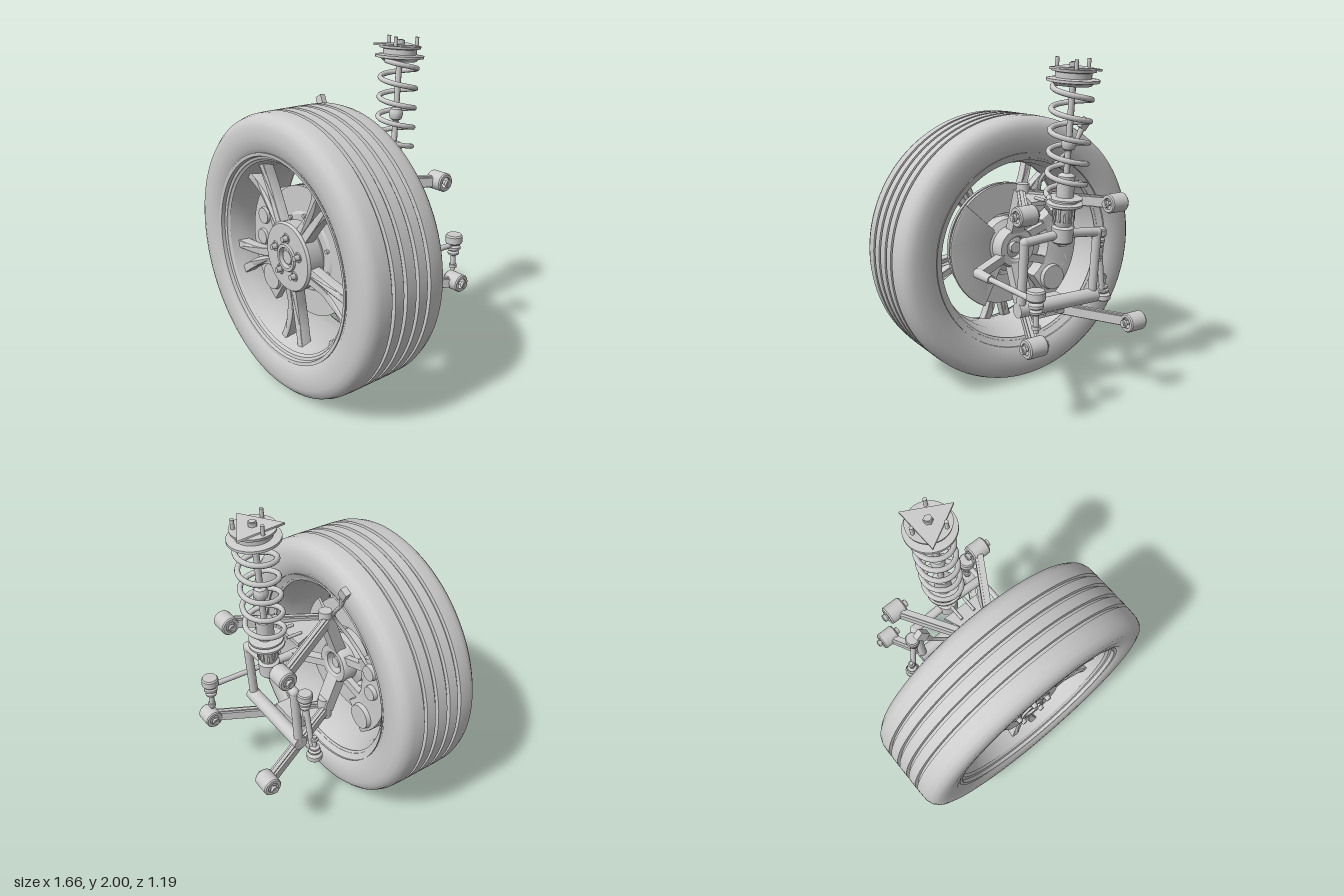
import * as THREE from 'three';
import { toCreasedNormals } from 'three/addons/utils/BufferGeometryUtils.js';

const mat = new THREE.MeshStandardMaterial({ color: 0xcccccc, side: THREE.DoubleSide });
const V = (p) => new THREE.Vector3(...p);
const AXLE = 0.83; // height of the wheel centre

function add(parent, name, geo, pos = [0, 0, 0]) {
  const m = new THREE.Mesh(geo, mat);
  m.name = name;
  m.position.set(...pos);
  parent.add(m);
  return m;
}
// Revolved profile of [radius, height] pairs, about y
const lathe = (pts, seg = 48) =>
  toCreasedNormals(new THREE.LatheGeometry(pts.map((p) => new THREE.Vector2(...p)), seg), 0.5);
// Same, about z
const latheZ = (pts, seg = 48) => lathe(pts, seg).rotateX(Math.PI / 2);
// Round rod between two points
function rod(parent, name, a, b, r1, r2 = r1, seg = 24) {
  const d = V(b).sub(V(a));
  const m = add(parent, name, new THREE.CylinderGeometry(r2, r1, d.length(), seg));
  m.position.copy(V(a).add(V(b)).multiplyScalar(0.5));
  m.quaternion.setFromUnitVectors(new THREE.Vector3(0, 1, 0), d.normalize());
  return m;
}
// Rectangular bar between two points
function bar(parent, name, a, b, w, h) {
  const m = add(parent, name, new THREE.BoxGeometry(w, h, V(a).distanceTo(V(b))));
  m.position.copy(V(a).add(V(b)).multiplyScalar(0.5));
  m.lookAt(V(b));
  return m;
}
const tube = (pts, r, n = 40) => new THREE.TubeGeometry(new THREE.CatmullRomCurve3(pts.map(V)), n, r, 10);
const box = (w, h, d) => new THREE.BoxGeometry(w, h, d);
const group = (parent, name) => { const g = new THREE.Group(); g.name = name; parent.add(g); return g; };

function buildWheel(root) {
  const wheel = group(root, 'wheel');
  wheel.position.y = AXLE;
  // Tyre with four tread grooves
  const tread = [];
  for (const z of [0.195, 0.275, 0.36, 0.44])
    tread.push([0.83, z - 0.011], [0.808, z - 0.009], [0.808, z + 0.009], [0.83, z + 0.011]);
  add(wheel, 'tyre', latheZ([[0.56, 0.1], [0.61, 0.07], [0.64, 0.05], [0.7, 0.042], [0.755, 0.043], [0.79, 0.055],
    [0.815, 0.08], [0.827, 0.115], ...tread, [0.827, 0.52], [0.815, 0.555], [0.79, 0.58], [0.755, 0.592],
    [0.7, 0.593], [0.64, 0.585], [0.61, 0.565], [0.56, 0.53]], 112));
  add(wheel, 'rim', latheZ([[0.61, 0.06], [0.61, 0.08], [0.575, 0.09], [0.56, 0.14], [0.535, 0.2], [0.53, 0.4],
    [0.545, 0.47], [0.565, 0.52], [0.575, 0.545], [0.59, 0.55], [0.595, 0.572], [0.615, 0.575], [0.615, 0.55]], 96));
  // Five forked spokes
  for (let i = 0; i < 5; i++) {
    const fork = group(wheel, 'spokePair');
    fork.rotation.z = (i * 2 * Math.PI) / 5 + Math.PI;
    for (const s of [-1, 1]) {
      const sh = new THREE.Shape();
      sh.moveTo(s * 0.004, 0.17);
      sh.lineTo(s * 0.004, 0.3);
      sh.quadraticCurveTo(s * 0.014, 0.44, s * 0.068, 0.565);
      sh.lineTo(s * 0.108, 0.555);
      sh.quadraticCurveTo(s * 0.052, 0.42, s * 0.046, 0.3);
      sh.lineTo(s * 0.05, 0.17);
      const g = new THREE.ExtrudeGeometry(sh, { depth: 0.05, bevelSize: 0.004, bevelThickness: 0.008, bevelSegments: 2, curveSegments: 10 });
      // Dish the spoke slightly between hub and rim
      const p = g.attributes.position;
      for (let k = 0; k < p.count; k++) p.setZ(k, p.getZ(k) + 0.43 - 0.02 * Math.sin(((p.getY(k) - 0.17) / 0.4) * Math.PI));
      add(fork, 'spoke', toCreasedNormals(g, 0.5));
    }
    add(fork, 'spokeWeb', box(0.05, 0.17, 0.03), [0, 0.25, 0.435]);
    // Wheel nut
    const a = Math.PI / 2 + (i * 2 * Math.PI) / 5, at = [0.116 * Math.cos(a), 0.116 * Math.sin(a), 0.51];
    add(wheel, 'wheelNut', new THREE.CylinderGeometry(0.017, 0.021, 0.04, 6).rotateX(Math.PI / 2), at);
    add(wheel, 'nutSeat', new THREE.TorusGeometry(0.026, 0.005, 8, 20), [at[0], at[1], 0.5]);
  }
  add(wheel, 'hubDisc', latheZ([[0.17, 0.36], [0.2, 0.4], [0.208, 0.485], [0.198, 0.5], [0.085, 0.5], [0.08, 0.512],
    [0.062, 0.512], [0.058, 0.485], [0.045, 0.485], [0.04, 0.5], [0, 0.5]], 64));
}

function buildBrake(root) {
  const brake = group(root, 'brake');
  brake.position.y = AXLE;
  add(brake, 'brakeDisc', latheZ([[0.2, 0.3], [0.39, 0.3], [0.39, 0.324], [0.375, 0.324], [0.375, 0.336], [0.39, 0.336],
    [0.39, 0.36], [0.24, 0.36], [0.225, 0.37], [0.17, 0.37]], 72));
  for (let i = 0; i < 10; i++) {
    const a = (i + 0.5) * Math.PI / 5;
    add(brake, 'discBolt', new THREE.CylinderGeometry(0.013, 0.013, 0.02, 6).rotateX(Math.PI / 2), [0.22 * Math.cos(a), 0.22 * Math.sin(a), 0.372]);
  }
  // Ring sectors: splash shield behind the disc and the caliper over it
  const sector = (name, r0, r1, a0, a1, z, depth) => {
    const s = new THREE.Shape();
    s.absarc(0, 0, r1, a0, a1, false);
    s.absarc(0, 0, r0, a1, a0, true);
    add(brake, name, toCreasedNormals(new THREE.ExtrudeGeometry(s, { depth, bevelSize: 0.008, bevelThickness: 0.008, bevelSegments: 2, curveSegments: 24 }), 0.5), [0, 0, z]);
  };
  sector('splashShield', 0.14, 0.41, -1.1, 0.75, 0.265, 0.006);
  sector('caliperFront', 0.26, 0.465, 2.55, 4.1, 0.37, 0.035);
  sector('caliperBack', 0.26, 0.465, 2.55, 4.1, 0.2, 0.085);
  sector('caliperBridge', 0.4, 0.465, 2.62, 4.0, 0.2, 0.2);
  for (const [x, y, r] of [[-0.34, 0.14, 0.055], [-0.36, 0, 0.052], [-0.28, -0.24, 0.09]])
    for (const [z0, z1] of [[0.4, 0.43], [0.21, 0.165]])
      rod(brake, 'piston', [x, y, z0], [x, y, z1], r, r * 0.88, 32);
  // Hose from the caliper to a bracket behind the tyre
  add(root, 'brakeHose', tube([[-0.35, 1.6, -0.035], [-0.31, 1.5, -0.02], [-0.2, 1.38, 0.02], [-0.12, 1.27, 0.08], [-0.18, 1.12, 0.16], [-0.32, 0.97, 0.2]], 0.011));
  add(root, 'hoseFitting', box(0.05, 0.07, 0.035), [-0.355, 1.6, -0.035]).rotation.set(-0.2, 0, 0.6);
  rod(root, 'hoseEnd', [-0.34, 1.57, -0.03], [-0.31, 1.5, -0.02], 0.02, 0.013);
}

function buildKnuckle(root) {
  const k = group(root, 'knuckle');
  add(k, 'bearingRing', latheZ([[0.07, 0.36], [0.07, 0.17], [0.085, 0.16], [0.12, 0.16], [0.13, 0.18], [0.13, 0.25], [0.17, 0.27], [0.17, 0.36]]), [0, AXLE, 0]);
  add(k, 'axleStub', latheZ([[0, 0.18], [0.035, 0.18], [0.035, 0.21], [0.07, 0.22], [0.07, 0.36]]), [0, AXLE, 0]);
  bar(k, 'upperUpright', [0, 0.92, 0.2], [0, 1.2, 0.1], 0.09, 0.07);
  bar(k, 'lowerUpright', [0, 0.74, 0.2], [0, 0.5, 0.1], 0.1, 0.07);
  rod(k, 'upperBallJoint', [0, 1.13, 0.1], [0, 1.25, 0.1], 0.045, 0.04);
  rod(k, 'lowerBallJoint', [0, 0.44, 0.1], [0, 0.58, 0.1], 0.05, 0.04);
  bar(k, 'steeringArm', [0.08, 0.78, 0.2], [0.33, 0.74, 0.08], 0.06, 0.05);
  for (const y of [0.68, 0.96]) bar(k, 'caliperBracket', [-0.08, (y + AXLE) / 2, 0.2], [-0.32, y, 0.22], 0.04, 0.05);
}

// A-shaped arm with two bushings
function buildArm(root, name, y, bx, bz) {
  const arm = group(root, name);
  for (const s of [-1, 1]) {
    bar(arm, 'armBar', [s * (bx - 0.02), y, bz + 0.04], [s * 0.015, y, 0.1], 0.05, 0.055);
    bar(arm, 'armRib', [s * (bx - 0.02), y, bz + 0.04], [s * 0.015, y, 0.1], 0.022, 0.07);
    const x = s * bx;
    add(arm, 'bushing', lathe([[0.03, -0.05], [0.033, -0.058], [0.05, -0.058], [0.056, -0.05], [0.056, 0.05], [0.05, 0.058], [0.033, 0.058], [0.03, 0.05], [0, 0.05]], 32).rotateZ(Math.PI / 2), [x, y, bz]);
    rod(arm, 'bushingBolt', [x - 0.085, y, bz], [x + 0.085, y, bz], 0.013);
    for (const e of [-1, 1]) rod(arm, 'bushingNut', [x + e * 0.063, y, bz], [x + e * 0.082, y, bz], 0.024, 0.024, 6);
  }
  // Web filling the point of the arm
  const web = new THREE.Shape([[0.12, -0.17], [0.02, 0.08], [-0.02, 0.08], [-0.12, -0.17]].map((p) => new THREE.Vector2(...p)));
  add(arm, 'armWeb', new THREE.ExtrudeGeometry(web, { depth: 0.025, bevelEnabled: false }).rotateX(Math.PI / 2), [0, y + 0.012, 0]);
  for (const s of [-1, 1]) rod(arm, 'webPin', [s * 0.045, y + 0.02, -0.2], [s * 0.045, y + 0.02, -0.1], 0.009);
}

function buildStrut(root) {
  const strut = group(root, 'strut');
  strut.position.set(0, 0.6, -0.265);
  strut.rotation.set(-0.078, 0, 0.015);
  add(strut, 'damper', lathe([[0, 0.37], [0.055, 0.37], [0.063, 0.38], [0.063, 0.46], [0.045, 0.47], [0.055, 0.5], [0.058, 0.58],
    [0.05, 0.59], [0.05, 0.76], [0.035, 0.77], [0.018, 0.775], [0.018, 0.9], [0.034, 0.91], [0.042, 0.93], [0.042, 0.95], [0.034, 0.97], [0.018, 0.98], [0.018, 1.38], [0, 1.38]], 32));
  for (let i = 0; i < 12; i++) {
    const a = (i * Math.PI) / 6;
    add(strut, 'collarRib', box(0.012, 0.08, 0.012), [0.058 * Math.cos(a), 0.54, 0.058 * Math.sin(a)]).rotation.y = -a;
  }
  add(strut, 'lowerSpringSeat', lathe([[0.05, 0.57], [0.08, 0.58], [0.105, 0.59], [0.105, 0.603], [0.075, 0.61], [0.075, 0.622], [0.1, 0.625], [0.1, 0.635], [0.05, 0.64]]));
  // Coil spring
  const turns = 5.25, coil = [];
  for (let i = 0; i <= turns * 16; i++) {
    const t = i / (turns * 16), a = t * turns * 2 * Math.PI;
    coil.push([0.108 * Math.cos(a), 0.645 + 0.615 * t, 0.108 * Math.sin(a)]);
  }
  add(strut, 'spring', tube(coil, 0.0155, 240));
  add(strut, 'topMount', lathe([[0.02, 1.255], [0.1, 1.255], [0.115, 1.27], [0.145, 1.275], [0.145, 1.29], [0.1, 1.295], [0.1, 1.325], [0.122, 1.33], [0.125, 1.345], [0.07, 1.345], [0.05, 1.335], [0, 1.335]]));
  add(strut, 'topPlate', new THREE.CylinderGeometry(0.162, 0.162, 0.012, 3, 1, false, Math.PI / 2), [0, 1.348, 0]);
  rod(strut, 'topNut', [0, 1.35, 0], [0, 1.375, 0], 0.026, 0.026, 6);
  for (const a of [Math.PI, Math.PI / 3, -Math.PI / 3])
    rod(strut, 'mountStud', [0.1 * Math.cos(a), 1.34, 0.1 * Math.sin(a)], [0.1 * Math.cos(a), 1.398, 0.1 * Math.sin(a)], 0.011);
  // Fork carrying the damper
  rod(strut, 'forkCrossTube', [-0.28, 0, 0], [0.28, 0, 0], 0.044, 0.044, 32);
  for (const s of [-1, 1]) {
    rod(strut, 'forkLeg', [s * 0.255, 0, 0], [s * 0.255, 0.4, 0], 0.027);
    rod(strut, 'forkShoulder', [s * 0.255, 0.4, 0], [s * 0.04, 0.42, 0], 0.027);
    add(strut, 'forkCorner', new THREE.SphereGeometry(0.029, 20, 12), [s * 0.255, 0.4, 0]);
  }
  add(root, 'forkBracket', box(0.2, 0.08, 0.1), [0, 0.565, -0.15]);
}

function buildLinks(root) {
  // Ball joint: cup, rubber boot and threaded stem pointing along dir
  const joint = (name, pos, dir) => {
    const j = add(root, name, lathe([[0, 0.05], [0.045, 0.05], [0.052, 0.04], [0.052, 0], [0.045, -0.01], [0.03, -0.015], [0.042, -0.03], [0.042, -0.045],
      [0.028, -0.055], [0.036, -0.068], [0.034, -0.08], [0.016, -0.09], [0.016, -0.15], [0.024, -0.15], [0.024, -0.17], [0.014, -0.172], [0.014, -0.19], [0, -0.19]].reverse(), 28), pos);
    if (dir > 0) j.rotation.x = Math.PI;
    return j;
  };
  joint('tieRodEnd', [0.33, 0.76, -0.53], -1);
  rod(root, 'tieRod', [0.33, 0.745, -0.5], [0.325, 0.74, 0.08], 0.017);
  rod(root, 'tieRodSleeve', [0.325, 0.74, -0.06], [0.325, 0.74, 0.1], 0.026, 0.032);
  // Stabiliser link beside the fork
  joint('upperLinkJoint', [-0.31, 0.96, -0.255], -1).scale.set(0.85, 0.85, 0.85);
  joint('lowerLinkJoint', [-0.37, 0.57, -0.23], 1).scale.set(0.9, 0.7, 0.9);
  rod(root, 'stabiliserLink', [-0.31, 0.93, -0.255], [-0.36, 0.58, -0.235], 0.017);
  rod(root, 'linkMount', [-0.26, 0.95, -0.28], [-0.31, 0.97, -0.255], 0.024);
}

export function createModel() {
  const root = new THREE.Group();
  root.name = 'wheelSuspension';
  buildWheel(root);
  buildBrake(root);
  buildKnuckle(root);
  buildArm(root, 'upperArm', 1.18, 0.31, -0.395);
  buildArm(root, 'lowerArm', 0.495, 0.348, -0.54);
  buildStrut(root);
  buildLinks(root);
  return root;
}
